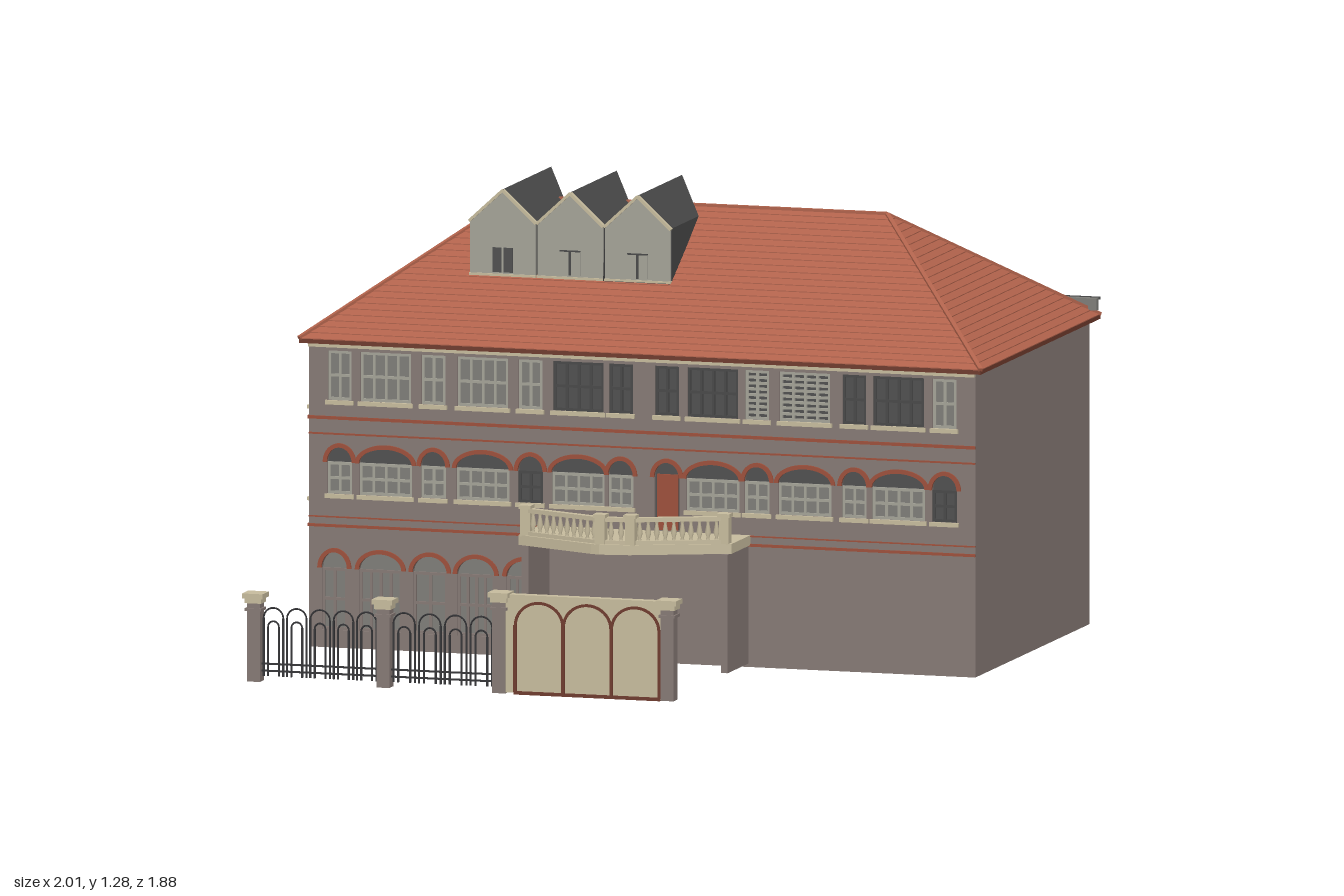
import * as THREE from 'three';

const mat = (name, color, side = THREE.FrontSide) => {
  const m = new THREE.MeshStandardMaterial({ color, side });
  m.name = name;
  return m;
};

export function createModel() {
  const root = new THREE.Group();
  root.name = 'house';
  const wall = mat('wall stone', 0x857974, THREE.DoubleSide);
  const tile = mat('roof tile', 0xb0624b);
  const brick = mat('brick trim', 0x9c4f3a);
  const brown = mat('dark brown', 0x6e3a2c);
  const beige = mat('beige stone', 0xc6bb9d);
  const slate = mat('dark slate', 0x474747);
  const pale = mat('pale grey', 0xa3a297);
  const dark = mat('dark glass', 0x4f4f4f, THREE.DoubleSide);
  const light = mat('light glass', 0x7d7c78, THREE.DoubleSide);
  const iron = mat('iron', 0x333336);

  const add = (name, geo, m, x = 0, y = 0, z = 0, parent = root) => {
    const mesh = new THREE.Mesh(geo, m);
    mesh.name = name;
    mesh.position.set(x, y, z);
    parent.add(mesh);
    return mesh;
  };
  // Box given by its limits
  const box = (name, m, x0, x1, y0, y1, z0, z1, parent = root) =>
    add(name, new THREE.BoxGeometry(x1 - x0, y1 - y0, z1 - z0), m,
      (x0 + x1) / 2, (y0 + y1) / 2, (z0 + z1) / 2, parent);
  const group = (name) => {
    const g = new THREE.Group();
    g.name = name;
    root.add(g);
    return g;
  };
  const extrude = (shape, depth) =>
    new THREE.ExtrudeGeometry(shape, { depth, bevelEnabled: false, curveSegments: 10 });
  // Bar between two points
  const bar = (name, m, a, b, w, h, parent = root) => {
    const mesh = add(name, new THREE.BoxGeometry(w, h, a.distanceTo(b)), m, 0, 0, 0, parent);
    mesh.position.copy(a).lerp(b, 0.5);
    mesh.lookAt(b);
    return mesh;
  };
  const V = (x, y, z) => new THREE.Vector3(x, y, z);

  // Opening outline with an elliptical head
  const opening = (C, x, w, y0, spring, rise) => {
    const s = new C();
    s.moveTo(x - w / 2, y0).lineTo(x + w / 2, y0).lineTo(x + w / 2, spring);
    if (rise) s.absellipse(x, spring, w / 2, rise, 0, Math.PI, false);
    else s.lineTo(x - w / 2, spring);
    s.closePath();
    return s;
  };
  // Curved band over an opening
  const archBand = (x, w, spring, rise, t) => {
    const s = new THREE.Shape();
    s.absellipse(x, spring, w / 2 + t, rise + t, 0, Math.PI, false);
    s.absellipse(x, spring, w / 2, rise, Math.PI, 0, true);
    s.closePath();
    return s;
  };

  // Window list: [centre, width, y0, spring, rise, kind]
  const wide = 0.155, slim = 0.073;
  const bays = [[-0.89, slim], [-0.755, wide], [-0.615, slim], [-0.47, wide], [-0.33, slim],
    [-0.19, wide], [-0.065, slim], [0.07, slim], [0.205, wide], [0.335, slim],
    [0.475, wide], [0.62, slim], [0.75, wide], [0.885, slim]];
  const darkTop = [5, 6, 7, 8, 11, 12], blindTop = [9, 10], darkMid = [4, 13], door = 7;
  const openings = [];
  bays.forEach(([x, w], i) => {
    openings.push([x, w * 0.96, 0.7, 0.84, 0,
      darkTop.includes(i) ? 'dark' : blindTop.includes(i) ? 'blind' : 'light']);
    openings.push([x, w, i === door ? 0.375 : 0.435, 0.525, 0.042,
      i === door ? 'door' : darkMid.includes(i) ? 'dark' : 'light']);
  });
  [[-0.905, 0.075], [-0.77, 0.125], [-0.625, 0.1], [-0.49, 0.11], [-0.345, 0.11]].forEach(
    ([x, w]) => openings.push([x, w, 0.05, 0.225, 0.045, 'ground']));

  // Walls, open below
  const L = -0.98, R = 0.975, F = 0.145, B = -0.915, TOP = 0.87;
  const front = new THREE.Shape();
  front.moveTo(L, 0).lineTo(R, 0).lineTo(R, TOP).lineTo(L, TOP).closePath();
  openings.forEach(([x, w, y0, s, r]) => front.holes.push(opening(THREE.Path, x, w, y0, s, r)));
  add('frontWall', extrude(front, 0.02), wall, 0, 0, F - 0.02);
  box('backWall', wall, L, R, 0, TOP, B, B + 0.01);
  box('rightWall', wall, L, L + 0.01, 0, TOP, B, F - 0.02);
  box('leftWall', wall, R - 0.01, R, 0, TOP, B, F - 0.02);

  // Windows with glazing bars, sills and brick arches
  const windows = group('windows');
  openings.forEach(([x, w, y0, s, r, kind]) => {
    const ground = kind === 'ground';
    add('glass', extrude(opening(THREE.Shape, x, w, y0, s, r), 0.004),
      ground ? light : dark, 0, 0, F - 0.016, windows);
    if (r) add('brickArch', extrude(archBand(x, w, s, r, 0.012), 0.008), brick, 0, 0, F - 0.002, windows);
    if (kind === 'door') {
      box('balconyDoor', brick, x - w / 2 + 0.006, x + w / 2 - 0.006, y0, s + 0.008, F - 0.012, F - 0.006, windows);
      return;
    }
    if (kind === 'light') box('pane', light, x - w / 2, x + w / 2, y0, s, F - 0.012, F - 0.009, windows);
    if (!ground) box('sill', beige, x - w / 2 - 0.006, x + w / 2 + 0.006, y0 - 0.012, y0, F - 0.005, F + 0.008, windows);
    const bars = ground ? wall : kind === 'dark' ? slate : pale;
    const n = w > 0.1 ? 4 : 2;
    for (let i = 0; i <= n; i++) {
      const bx = x - w / 2 + 0.004 + (i / n) * (w - 0.008);
      box('mullion', bars, bx - 0.004, bx + 0.004, y0, s, F - 0.01, F - 0.004, windows);
    }
    // Blinds are close-set slats
    const rows = kind === 'blind' ? 8 : 2;
    for (let i = 0; i <= rows; i++) {
      const y = y0 + 0.004 + (i / rows) * (s - y0 - 0.008);
      box('transom', bars, x - w / 2, x + w / 2, y - 0.004, y + 0.004, F - 0.01, F - 0.004, windows);
    }
  });

  // Windows of the right-hand wall
  [[0.075, 0.76], [0.075, 0.5], [-0.29, 0.6]].forEach(([z, y]) => {
    box('sideFrame', brown, L - 0.006, L, y - 0.08, y + 0.08, z - 0.045, z + 0.045, windows);
    [-1, 1].forEach((k) =>
      box('sideGlass', dark, L - 0.009, L - 0.005, y - 0.07, y + 0.07, z + k * 0.021 - 0.017, z + k * 0.021 + 0.017, windows));
    box('sideSill', beige, L - 0.012, L, y - 0.09, y - 0.08, z - 0.05, z + 0.05, windows);
  });

  // Brick string courses and the cornice
  [[0.345, 0.008], [0.37, 0.004], [0.605, 0.005], [0.65, 0.009]].forEach(([y, h]) => {
    box('frontCourse', brick, L, R, y - h / 2, y + h / 2, F - 0.005, F + 0.004);
    if (h > 0.006) box('sideCourse', brick, L - 0.004, L, y - h / 2, y + h / 2, B, F + 0.004);
  });
  box('cornice', beige, L, R, 0.85, 0.862, F - 0.005, F + 0.01);

  // Hipped roof in overlapping tile courses
  box('eaves', brown, -1, 1, 0.862, 0.874, -0.935, 0.175);
  const EY = 0.874, RY = 1.213, RZ = -0.41, RL = -0.55, RR = 0.54;
  const ring = (t, lift) => {
    const mix = (a, b) => a + (b - a) * t, y = mix(EY, RY) + lift;
    const x0 = mix(-1, RL), x1 = mix(1, RR), z0 = mix(-0.935, RZ), z1 = mix(0.175, RZ);
    return [V(x0, y, z1), V(x1, y, z1), V(x1, y, z0), V(x0, y, z0)];
  };
  const rings = [], courses = 24;
  for (let i = 0; i < courses; i++) rings.push(ring(i / courses, 0), ring(i / courses, 0.0025));
  rings.push(ring(1, 0));
  const pts = [];
  for (let i = 0; i < rings.length - 1; i++) {
    for (let k = 0; k < 4; k++) {
      const a = rings[i][k], b = rings[i][(k + 1) % 4], c = rings[i + 1][(k + 1) % 4], d = rings[i + 1][k];
      pts.push(a, b, c, a, c, d);
    }
  }
  const roofGeo = new THREE.BufferGeometry().setFromPoints(pts);
  roofGeo.computeVertexNormals();
  add('tiledRoof', roofGeo, tile);
  const corners = ring(0, 0.002), ends = [V(RL, RY, RZ), V(RR, RY, RZ)];
  corners.forEach((c, k) => bar('hipRidge', tile, c, ends[k === 1 || k === 2 ? 1 : 0], 0.012, 0.01));
  bar('topRidge', tile, ends[0], ends[1], 0.012, 0.01);

  // Snow guard along the back of the roof
  box('snowGuard', light, -1, 1, 0.89, 0.924, -0.919, -0.898);
  box('snowGuardRail', slate, -1, 1, 0.917, 0.924, -0.938, -0.932);

  // Three gabled dormers, cut at the back along the roof slope
  const slope = (RY - EY) / (0.175 - RZ), DZ = -0.11;
  [[-0.49, 0.026], [-0.292, 0.008], [-0.094, -0.012]].forEach(([cx, back], index) => {
    const g = group('dormer'), h = 0.098;
    const gable = (w, y0, eave, top) => {
      const s = new THREE.Shape();
      s.moveTo(-w, y0).lineTo(w, y0).lineTo(w, eave).lineTo(0, top).lineTo(-w, eave).closePath();
      return s;
    };
    const body = extrude(gable(h, 1.035, 1.19, 1.28), 0.1), p = body.attributes.position;
    for (let i = 0; i < p.count; i++) {
      p.setZ(i, p.getZ(i) > 0.05 ? DZ : 0.175 - (p.getY(i) - EY) / slope - back);
    }
    body.computeVertexNormals();
    add('dormerBody', body, slate, cx, 0, 0, g);
    add('dormerFront', extrude(gable(h - 0.002, 1.035, 1.186, 1.275), 0.008), pale, cx, 0, DZ, g);
    [-1, 1].forEach((k) => bar('gableTrim', beige, V(cx + k * h, 1.187, DZ + 0.006), V(cx, 1.277, DZ + 0.006), 0.014, 0.008, g));
    box('dormerSill', beige, cx - h, cx + h, 1.033, 1.041, DZ, DZ + 0.012, g);
    // The first window is dark, the others are shuttered
    const shut = index > 0;
    box('dormerGlass', shut ? pale : dark, cx - 0.03, cx + 0.03, 1.045, 1.115, DZ + 0.008, DZ + 0.01, g);
    box('dormerMullion', shut ? slate : pale, cx - 0.003, cx + 0.003, 1.045, 1.115, DZ + 0.008, DZ + 0.012, g);
    if (shut) box('dormerTransom', slate, cx - 0.03, cx + 0.03, 1.112, 1.116, DZ + 0.008, DZ + 0.012, g);
  });

  // Porch side walls and the pointed balcony
  box('porchWall', wall, -0.295, -0.275, 0.01, 0.345, F, 0.34);
  box('porchWall', wall, 0.29, 0.31, 0.01, 0.345, F, 0.34);
  const slab = new THREE.Shape();
  [[-0.305, -F], [-0.305, -0.335], [-0.06, -0.437], [-0.035, -0.444], [0.05, -0.43], [0.315, -0.318], [0.315, -F]]
    .forEach(([x, y], i) => (i ? slab.lineTo(x, y) : slab.moveTo(x, y)));
  slab.closePath();
  add('balconySlab', extrude(slab, 0.028), beige, 0, 0.345, 0).rotation.x = -Math.PI / 2;
  const rail = group('balustrade');
  const posts = [V(-0.285, 0, 0.325), V(-0.035, 0, 0.424), V(0.05, 0, 0.413), V(0.293, 0, 0.31)];
  const turned = new THREE.LatheGeometry([[0.007, 0], [0.004, 0.01], [0.009, 0.025], [0.004, 0.05], [0.007, 0.06]]
    .map(([r, y]) => new THREE.Vector2(r, y)), 8);
  posts.forEach((a, i) => {
    box('balconyPost', beige, a.x - 0.014, a.x + 0.014, 0.37, 0.45, a.z - 0.014, a.z + 0.014, rail);
    box('postCap', beige, a.x - 0.018, a.x + 0.018, 0.448, 0.458, a.z - 0.018, a.z + 0.018, rail);
    const b = posts[i + 1];
    if (!b) return;
    [[0.378, 0.012], [0.443, 0.012]].forEach(([y, h]) =>
      bar('handrail', beige, V(a.x, y, a.z), V(b.x, y, b.z), 0.02, h, rail));
    const n = i === 1 ? 3 : 11;
    for (let k = 1; k < n; k++) {
      const q = a.clone().lerp(b, k / n);
      add('baluster', turned, beige, q.x, 0.38, q.z, rail);
    }
  });

  // Fence piers with stepped caps
  const GZ = 0.905, fence = group('fence');
  const piers = [[-0.897, 0.265], [-0.517, 0.265], [-0.177, 0.3], [0.317, 0.3]];
  piers.forEach(([x, top]) => {
    box('pier', wall, x - 0.019, x + 0.019, 0.015, top - 0.02, GZ - 0.019, GZ + 0.019, fence);
    box('pierCollar', wall, x - 0.024, x + 0.024, top - 0.05, top - 0.042, GZ - 0.024, GZ + 0.024, fence);
    box('pierCap', beige, x - 0.024, x + 0.024, top - 0.028, top - 0.014, GZ - 0.024, GZ + 0.024, fence);
    box('pierCapTop', beige, x - 0.03, x + 0.03, top - 0.014, top, GZ - 0.03, GZ + 0.03, fence);
  });

  // Iron railings with looped tops
  [[0, 1], [1, 2]].forEach(([i, j]) => {
    const x0 = piers[i][0] + 0.019, x1 = piers[j][0] - 0.019, n = i ? 4 : 5, step = (x1 - x0) / n, t = 0.0025;
    [0.045, 0.065].forEach((y) => box('railing', iron, x0, x1, y - t, y + t, GZ - t, GZ + t, fence));
    for (let k = 0; k < n; k++) {
      const cx = x0 + (k + 0.5) * step, r = step * 0.42;
      [[r, 0.195], [r * 0.55, 0.17]].forEach(([rad, y]) => {
        add('ironLoop', new THREE.TorusGeometry(rad, t, 4, 12, Math.PI), iron, cx, y, GZ, fence);
        [-1, 1].forEach((s) =>
          box('picket', iron, cx + s * rad - t, cx + s * rad + t, 0.03, y, GZ - t, GZ + t, fence));
      });
    }
  });

  // Gate panel with three arched frames
  const gate = group('gate');
  box('gatePanel', beige, -0.158, 0.298, 0.018, 0.295, GZ - 0.014, GZ + 0.014, gate);
  box('gateFoot', brown, -0.135, 0.295, 0.013, 0.023, GZ - 0.013, GZ + 0.016, gate);
  for (let i = 0; i <= 3; i++) {
    const x = -0.13 + i * 0.141;
    box('gateStile', brown, x - 0.005, x + 0.005, 0.02, 0.21, GZ + 0.012, GZ + 0.017, gate);
    if (i < 3) add('gateArch', extrude(archBand(x + 0.0705, 0.131, 0.21, 0.06, 0.008), 0.005), brown, 0, 0, GZ + 0.012, gate);
  }
  return root;
}
